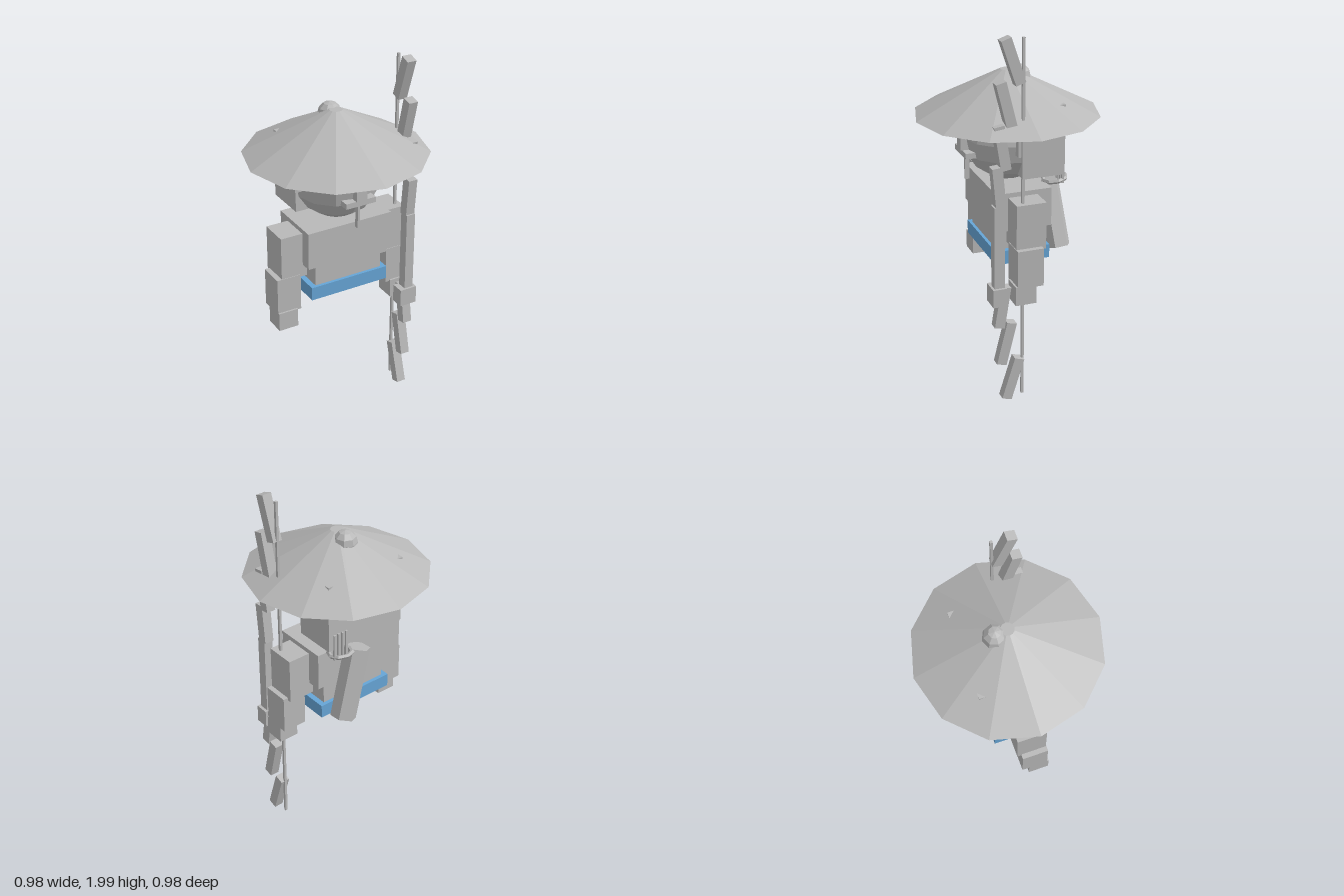
import * as THREE from 'three';

export function createModel() {
  const root = new THREE.Group();
  const grey = new THREE.MeshStandardMaterial({ color: 0xb8b8b8, flatShading: true });
  grey.name = 'stone grey';
  const blue = new THREE.MeshStandardMaterial({ color: 0x66a5d6, flatShading: true });
  blue.name = 'belt blue';

  const add = (name, geometry, x = 0, y = 0, z = 0, material = grey) => {
    const mesh = new THREE.Mesh(geometry, material);
    mesh.name = name;
    mesh.position.set(x, y, z);
    root.add(mesh);
    return mesh;
  };
  // Box given by its lower and upper limits on each axis
  const box = (name, [x0, x1], [y0, y1], [z0, z1], material) =>
    add(name, new THREE.BoxGeometry(x1 - x0, y1 - y0, z1 - z0),
      (x0 + x1) / 2, (y0 + y1) / 2, (z0 + z1) / 2, material);
  // The same box on both sides of the body
  const pair = (name, [x0, x1], y, z) => {
    box(name + 'Left', [x0, x1], y, z);
    box(name + 'Right', [-x1, -x0], y, z);
  };

  // Hat and the hair knot behind its tip
  add('hat', new THREE.CylinderGeometry(0.035, 0.49, 0.235, 12), 0, 1.6175, 0);
  add('hairKnot', new THREE.SphereGeometry(0.065, 8, 6), 0, 1.69, -0.065);

  // Head: round face set into a square block of hair
  add('face', new THREE.SphereGeometry(0.24, 12, 8), 0, 1.387, 0);
  box('hair', [-0.24, 0.24], [1.21, 1.588], [-0.23, 0]);
  box('hairTie', [-0.036, -0.024], [1.33, 1.45], [-0.236, -0.228]);
  pair('ear', [0.2, 0.262], [1.34, 1.437], [-0.035, 0.035]);
  pair('eye', [0.06, 0.1], [1.4, 1.457], [0.18, 0.225]);
  pair('eyebrow', [0.045, 0.118], [1.468, 1.495], [0.18, 0.232]);
  box('nose', [-0.03, 0.03], [1.33, 1.395], [0.2, 0.265]);
  box('moustache', [-0.088, 0.088], [1.3, 1.33], [0.2, 0.257]);
  box('beard', [-0.007, 0.007], [1.16, 1.3], [0.21, 0.235]);

  // Torso
  box('chest', [-0.25, 0.25], [0.94, 1.15], [-0.155, 0.15]);
  box('waist', [-0.2, 0.2], [0.8, 0.94], [-0.135, 0.13]);
  box('belt', [-0.23, 0.23], [0.745, 0.82], [-0.155, 0.147], blue);

  // Arms
  pair('upperArm', [0.225, 0.375], [0.87, 1.125], [-0.077, 0.085]);
  pair('forearm', [0.265, 0.403], [0.675, 0.885], [-0.055, 0.088]);
  pair('hand', [0.29, 0.402], [0.58, 0.685], [-0.015, 0.098]);
  box('gripFist', [0.285, 0.385], [0.58, 0.68], [0.14, 0.215]);

  // Bow: straight limbs, each from one (z, y) point to the next
  const limbs = [
    [0.138, 1.987, 0.061, 1.759], [0.164, 1.773, 0.106, 1.54],
    [0.175, 1.555, 0.138, 1.323], [0.185, 1.34, 0.165, 1.12],
    [0.175, 1.13, 0.175, 0.58], [0.138, 0.677, 0.175, 0.448],
    [0.106, 0.465, 0.164, 0.228], [0.063, 0.243, 0.135, 0.012],
  ];
  limbs.forEach(([z0, y0, z1, y1], i) => {
    const limb = add('bowLimb' + (i + 1),
      new THREE.BoxGeometry(0.052, Math.hypot(z1 - z0, y1 - y0), 0.055),
      0.343, (y0 + y1) / 2, (z0 + z1) / 2);
    limb.rotation.x = Math.atan2(z0 - z1, y0 - y1);
  });
  box('bowString', [0.336, 0.35], [0.02, 1.985], [0.033, 0.047]);

  // Quiver slung across the back, with its rim and arrows
  const top = new THREE.Vector3(0.03, 1.145, -0.205);
  const bottom = new THREE.Vector3(0.15, 0.765, -0.235);
  const axis = top.clone().sub(bottom);
  const quiver = add('quiver', new THREE.CylinderGeometry(0.07, 0.07, axis.length(), 6));
  quiver.position.copy(top).add(bottom).multiplyScalar(0.5);
  quiver.quaternion.setFromUnitVectors(new THREE.Vector3(0, 1, 0), axis.normalize());
  const rim = add('quiverRim', new THREE.TorusGeometry(0.062, 0.012, 5, 8), 0.15, 1.163, -0.21);
  rim.rotation.x = Math.PI / 2 + 0.15;
  for (let i = 0; i < 4; i++) {
    const x = 0.13 + i * 0.025;
    box('arrow' + (i + 1), [x - 0.006, x + 0.006], [1.15, 1.3], [-0.24, -0.228]);
  }
  return root;
}
